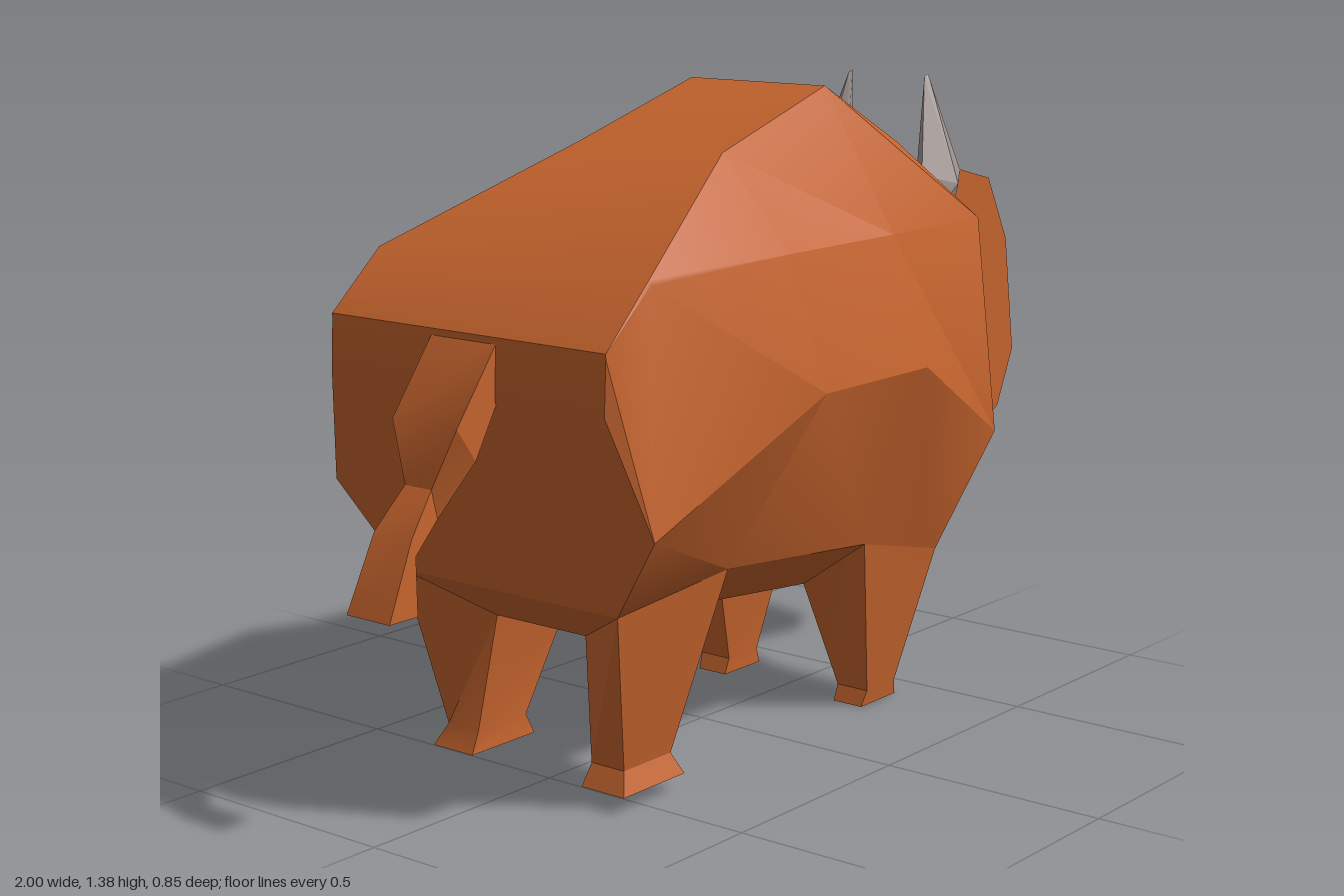
import * as THREE from 'three';
import { toCreasedNormals } from 'three/addons/utils/BufferGeometryUtils.js';
import { ConvexGeometry } from 'three/addons/geometries/ConvexGeometry.js';

// Skin a list of equal-length rings and cap both ends.
// Each ring runs counter-clockwise seen from the end it advances towards.
function loft(rings, crease = 0.5) {
  const pos = [];
  const tri = (a, b, c) => {
    const [A, B, C] = [a, b, c].map((p) => new THREE.Vector3(...p));
    if (B.sub(A).cross(C.sub(A)).length() > 1e-6) pos.push(...a, ...b, ...c);
  };
  const quad = (a, b, c, d) => { tri(a, b, c); tri(a, c, d); };
  const n = rings[0].length;
  for (let i = 0; i + 1 < rings.length; i++) {
    const a = rings[i], b = rings[i + 1];
    for (let j = 0; j < n; j++) {
      const k = (j + 1) % n;
      quad(a[j], a[k], b[k], b[j]);
    }
  }
  const first = rings[0], last = rings[rings.length - 1];
  for (let j = 0; j < n / 2 - 1; j++) {
    quad(last[j], last[j + 1], last[n - 2 - j], last[n - 1 - j]);
    quad(first[n - 1 - j], first[n - 2 - j], first[j + 1], first[j]);
  }
  const g = new THREE.BufferGeometry();
  g.setAttribute('position', new THREE.Float32BufferAttribute(pos, 3));
  return toCreasedNormals(g, crease);
}

const flip = ([x, y, z]) => [x, y, -z];
const mirrorRing = (ring) => ring.map(flip).reverse();

export function createModel() {
  const model = new THREE.Group();
  model.name = 'horned bull';
  const hide = new THREE.MeshStandardMaterial({ color: 0xc4632d });
  hide.name = 'brown hide';
  const horn = new THREE.MeshStandardMaterial({ color: 0xa0938f });
  horn.name = 'grey horn';
  const add = (name, geometry, material = hide) => {
    const mesh = new THREE.Mesh(geometry, material);
    mesh.name = name;
    model.add(mesh);
  };

  // Body half-sections from rump to chest: back, shoulder, flank, leg top, belly
  const half = [
    [[-0.73, 0.96, 0.36], [-0.73, 0.95, 0.36], [-0.735, 0.84, 0.36], [-0.62, 0.42, 0.12], [-0.52, 0.33, 0.12]],
    [[-0.6, 1.08, 0.355], [-0.6, 1.07, 0.36], [-0.67, 0.6, 0.425], [-0.62, 0.42, 0.29], [-0.52, 0.33, 0.12]],
    [[-0.17, 1.27, 0.19], [-0.17, 1.08, 0.36], [-0.13, 0.8, 0.425], [-0.29, 0.45, 0.3], [-0.29, 0.33, 0.12]],
    [[0.19, 1.38, 0.18], [0.19, 1.08, 0.36], [0.23, 0.8, 0.425], [0.2, 0.4, 0.29], [0.21, 0.28, 0.12]],
    [[0.46, 1.24, 0.18], [0.53, 1.08, 0.35], [0.57, 0.6, 0.38], [0.49, 0.33, 0.28], [0.46, 0.28, 0.12]],
    [[0.6, 1.11, 0.15], [0.58, 1.0, 0.15], [0.63, 0.55, 0.15], [0.49, 0.33, 0.12], [0.46, 0.28, 0.12]],
  ];
  add('body', loft(half.map((s) => [...s, ...mirrorRing(s)])));

  // Legs continue the underside of the body down to the ankle and hoof
  const level = (x0, x1, y, z0, z1) => [[x0, y, z0], [x1, y, z0], [x1, y, z1], [x0, y, z1]];
  const top = (a, b) => [half[a][4], half[b][4], half[b][3], half[a][3]];
  const legs = {
    hindLeg: [top(1, 2), level(-0.545, -0.4, 0.08, 0.155, 0.24), level(-0.57, -0.38, 0.035, 0.15, 0.26)],
    foreLeg: [top(3, 4), level(0.295, 0.4, 0.035, 0.155, 0.235), level(0.28, 0.41, 0, 0.155, 0.23)],
  };
  for (const [name, rings] of Object.entries(legs)) {
    add(name + 'Near', loft(rings));
    add(name + 'Far', loft(rings.map(mirrorRing)));
  }

  // Head: flat-sided slab, sunk into the chest
  const profile = [[0.5, 1.03], [0.6, 1.105], [0.76, 1.15], [0.88, 1.12], [0.96, 0.97],
    [1.0, 0.7], [0.94, 0.57], [0.82, 0.505], [0.63, 0.55], [0.5, 0.62]];
  const shape = new THREE.Shape(profile.map(([x, y]) => new THREE.Vector2(x, y)));
  const head = new THREE.ExtrudeGeometry(shape, { depth: 0.304, bevelEnabled: false });
  head.translate(0, 0, -0.152);
  add('head', head);

  // Horns: faceted, widest just above the base and leaning inwards
  const hornPoints = [[0.575, 1.03, 0.145], [0.7, 1.012, 0.145], [0.59, 1.032, 0.168], [0.69, 1.015, 0.168],
    [0.76, 1.15, 0.15], [0.605, 1.15, 0.15], [0.67, 1.13, 0.205], [0.67, 1.15, 0.105],
    [0.675, 1.365, 0.105], [0.69, 1.37, 0.105], [0.685, 1.36, 0.113]];
  for (const [name, side] of [['hornNear', 1], ['hornFar', -1]]) {
    add(name, new ConvexGeometry(hornPoints.map(([x, y, z]) => new THREE.Vector3(x, y, z * side))), horn);
  }

  // Tail stations: upper x, y, lower x, y, half width
  const tail = [
    [-0.72, 0.96, -0.725, 0.84, 0.085],
    [-0.84, 0.8, -0.79, 0.73, 0.085],
    [-0.86, 0.68, -0.845, 0.62, 0.035],
    [-0.93, 0.6, -0.92, 0.565, 0.05],
    [-1.0, 0.45, -0.925, 0.45, 0.057],
  ].map(([ux, uy, lx, ly, w]) => [[ux, uy, w], [ux, uy, -w], [lx, ly, -w], [lx, ly, w]]);
  add('tail', loft(tail));

  return model;
}
